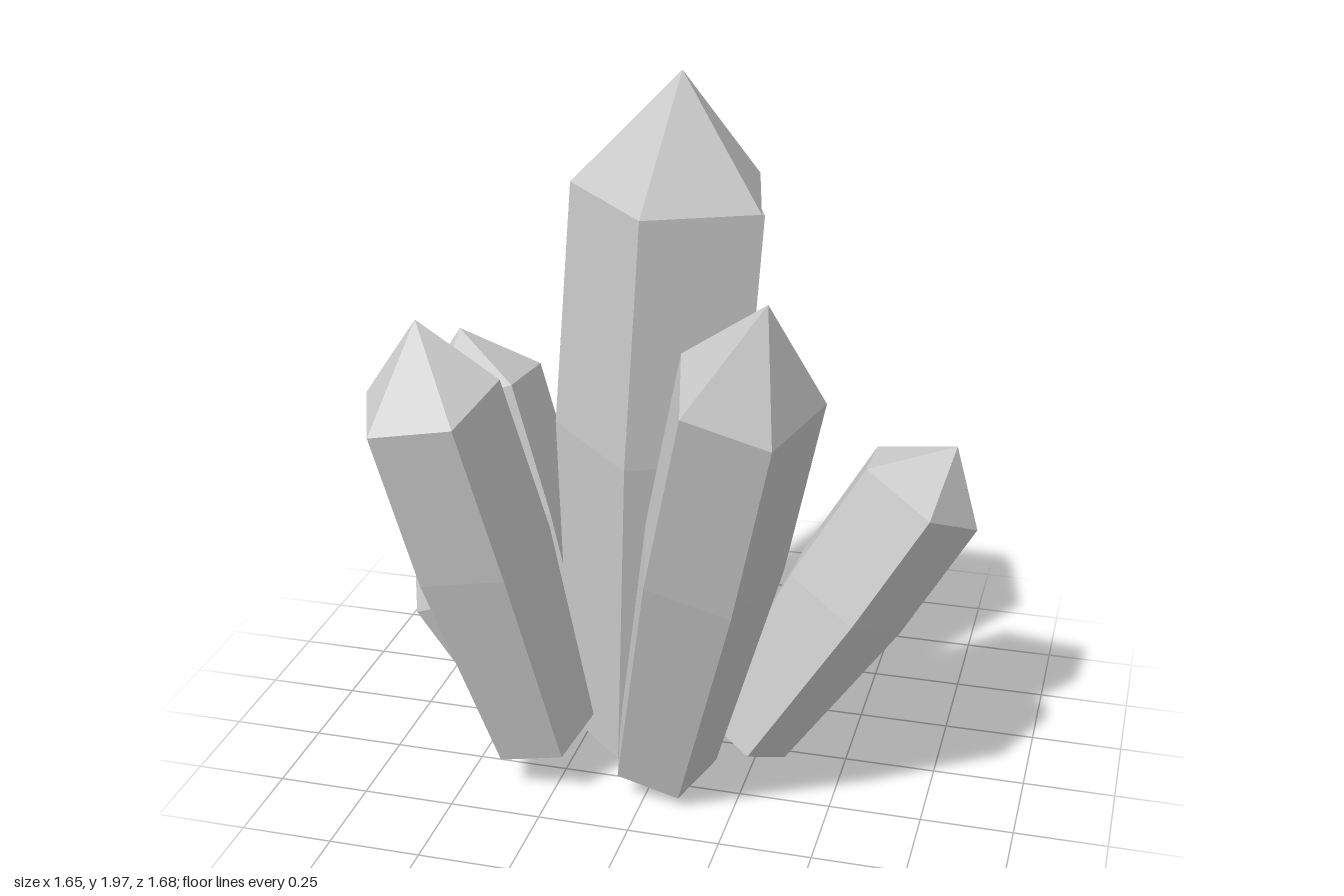
import * as THREE from 'three';

const SIDES = 5;

// Ring of points around a centre, square to the axis, with its first corner towards `aim`
function ring(center, axis, aim, radius) {
  const u = aim.clone().addScaledVector(axis, -aim.dot(axis)).normalize();
  const v = new THREE.Vector3().crossVectors(axis, u);
  return Array.from({ length: SIDES }, (_, i) => {
    const a = (i / SIDES) * Math.PI * 2;
    return center.clone()
      .addScaledVector(u, radius * Math.cos(a))
      .addScaledVector(v, radius * Math.sin(a));
  });
}

// Five-sided shaft, swelling slightly in the middle, with an off-centre point
function crystalGeometry({ base, top, apex, aim, radii }) {
  const [b, t, tip, dir] = [base, top, apex, aim].map((p) => new THREE.Vector3(...p));
  const axis = t.clone().sub(b).normalize();
  const levels = [0, 0.58, 1].map((f, i) =>
    ring(b.clone().lerp(t, f), axis, dir, radii[i]));
  const points = [];
  for (let i = 0; i < SIDES; i++) {
    const j = (i + 1) % SIDES;
    points.push(b, levels[0][j], levels[0][i]);
    for (let k = 0; k < 2; k++) {
      const [lo, hi] = [levels[k], levels[k + 1]];
      points.push(lo[i], lo[j], hi[j], lo[i], hi[j], hi[i]);
    }
    points.push(levels[2][i], levels[2][j], tip);
  }
  const geometry = new THREE.BufferGeometry().setFromPoints(points);
  geometry.computeVertexNormals();
  return geometry;
}

// base and top are ring centres; radii run base, middle, top
const CRYSTALS = {
  centreCrystal: {
    base: [-0.09, 0.07, 0.01], top: [0.02, 1.69, 0.07], apex: [0.04, 2, 0.08],
    aim: [-0.08, 0, 1], radii: [0.21, 0.285, 0.27],
  },
  backCrystal: {
    base: [-0.12, 0.08, -0.22], top: [-0.09, 1.4, -0.68], apex: [-0.09, 1.66, -0.77],
    aim: [1, 0, 0.05], radii: [0.15, 0.195, 0.185],
  },
  frontLeftCrystal: {
    base: [0.03, 0.12, 0.25], top: [0.35, 1.4, 0.69], apex: [0.42, 1.66, 0.79],
    aim: [0.02, 0.07, -0.19], radii: [0.15, 0.195, 0.19],
  },
  frontRightCrystal: {
    base: [-0.31, 0.17, 0.28], top: [-0.5, 1.24, 0.54], apex: [-0.54, 1.43, 0.49],
    aim: [-0.02, 0.08, -0.19], radii: [0.15, 0.195, 0.19],
  },
  backRightCrystal: {
    base: [-0.36, 0.11, -0.1], top: [-0.64, 0.98, -0.19], apex: [-0.7, 1.13, -0.24],
    aim: [-0.18, -0.07, 0], radii: [0.15, 0.2, 0.2],
  },
  leftCrystal: {
    base: [0.21, 0.1, 0.03], top: [0.66, 0.85, -0.08], apex: [0.755, 0.98, -0.1],
    aim: [0.15, -0.11, 0.01], radii: [0.14, 0.19, 0.19],
  },
  smallRightCrystal: {
    base: [-0.37, 0.09, 0.11], top: [-0.62, 0.51, 0.2], apex: [-0.685, 0.58, 0.22],
    aim: [1, 0.5, 0], radii: [0.065, 0.09, 0.085],
  },
};

export function createModel() {
  const group = new THREE.Group();
  group.name = 'crystalCluster';
  const material = new THREE.MeshStandardMaterial({ color: 0xcccccc, flatShading: true });
  for (const [name, shape] of Object.entries(CRYSTALS)) {
    const mesh = new THREE.Mesh(crystalGeometry(shape), material);
    mesh.name = name;
    group.add(mesh);
  }
  return group;
}
